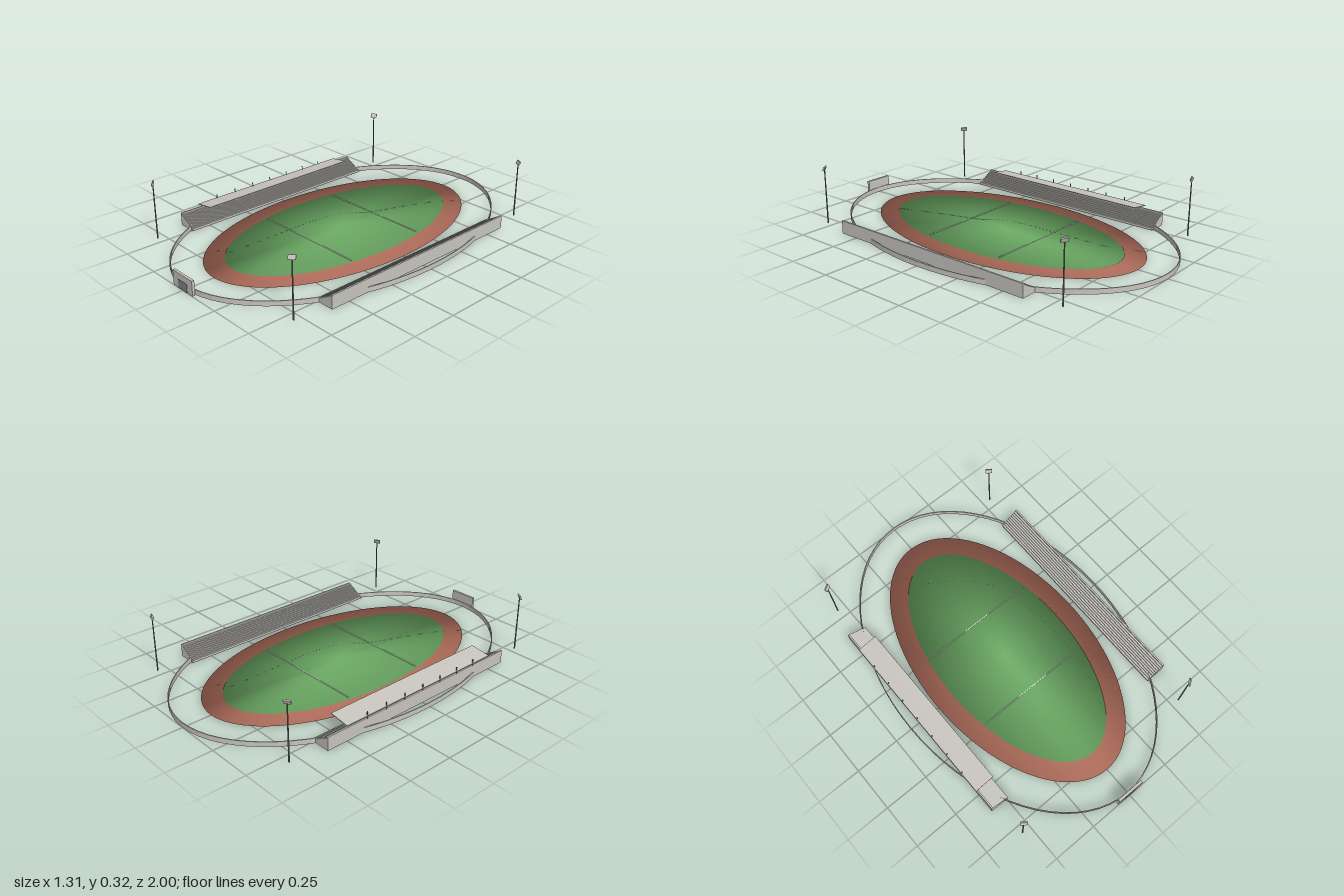
import * as THREE from 'three';
import { mergeVertices } from 'three/addons/utils/BufferGeometryUtils.js';

const mat = (name, color, side = THREE.FrontSide) => {
  const m = new THREE.MeshStandardMaterial({ color, side });
  m.name = name;
  return m;
};

export function createModel() {
  const concrete = mat('concrete', 0xc8c5bf);
  const clay = mat('clay', 0xc47a66);
  const grass = mat('grass', 0x70b068);
  const steel = mat('steel', 0x74777c);
  const doorGrey = mat('doorGrey', 0x82878d);
  const white = mat('white', 0xeeeeea);

  const stadium = new THREE.Group();
  stadium.name = 'stadium';
  const add = (name, geo, material, x = 0, y = 0, z = 0, parent = stadium) => {
    const m = new THREE.Mesh(geo, material);
    m.name = name;
    m.position.set(x, y, z);
    parent.add(m);
    return m;
  };
  const box = (w, h, d) => new THREE.BoxGeometry(w, h, d);
  const Z0 = -0.007; // centre of the oval; the gate stands out in front

  // Thin oval lens with softly rounded shading towards the rim
  const oval = (rx, rz, bottom, rim, top) => {
    const points = [[0, bottom], [1, rim], [0, top]].map(p => new THREE.Vector2(...p));
    let g = new THREE.LatheGeometry(points, 96);
    g.deleteAttribute('normal');
    g.deleteAttribute('uv');
    g.scale(rx, 1, rz);
    g = mergeVertices(g, 1e-5);
    g.computeVertexNormals();
    return g;
  };
  add('runningTrack', oval(0.468, 0.833, 0, 0.002, 0.004), clay, 0, 0, Z0);
  add('playingField', oval(0.365, 0.72, 0.003, 0.005, 0.007), grass, 0, 0, Z0);

  // Field lines
  for (const z of [-0.245, 0.23]) add('fieldLine', box(0.66, 0.003, 0.004), white, 0, 0.0065, z);

  // Faceted perimeter wall
  const wallShape = new THREE.Shape().absellipse(0, 0, 0.653, 0.993, 0, Math.PI * 2);
  wallShape.holes.push(new THREE.Path().absellipse(0, 0, 0.648, 0.988, 0, Math.PI * 2));
  const wallGeo = new THREE.ExtrudeGeometry(wallShape, { depth: 0.027, bevelEnabled: false, curveSegments: 36 });
  wallGeo.rotateX(-Math.PI / 2);
  add('perimeterWall', wallGeo, concrete, 0, 0, Z0);

  // Stepped stands with a back wall, one on each long side
  const steps = 9, length = 1.225;
  const profile = new THREE.Shape();
  profile.moveTo(0.59, 0);
  for (let i = steps - 1; i >= 0; i--) {
    const y = 0.007 + (i + 1) * 0.0062;
    profile.lineTo(0.492 + (i + 1) * 0.098 / steps, y);
    profile.lineTo(0.492 + i * 0.098 / steps, y);
  }
  profile.lineTo(0.492, 0);
  const tierGeo = new THREE.ExtrudeGeometry(profile, { depth: length, bevelEnabled: false });
  tierGeo.translate(0, 0, -length / 2);
  for (const side of [1, -1]) {
    const stand = new THREE.Group();
    stand.name = side > 0 ? 'leftStand' : 'rightStand';
    add('seatingTiers', tierGeo, concrete, 0, 0, 0, stand);
    add('backWall', box(0.009, 0.072, length), concrete, 0.5945, 0.036, 0, stand);
    stand.rotation.y = side > 0 ? 0 : Math.PI;
    stand.position.z = -0.005;
    stadium.add(stand);
  }

  // Sloping roof and its posts over the right stand
  const roof = add('roof', box(0.113, 0.004, 0.995), concrete, -0.548, 0.093, Z0);
  roof.rotation.z = 0.14;
  for (let i = -3; i <= 3; i++) {
    add('roofPost', box(0.004, 0.04, 0.004), steel, -0.598, 0.087, Z0 + 0.005 + i * 0.124);
  }

  // Floodlight masts at the four corners
  for (const sx of [-1, 1]) for (const sz of [-1, 1]) {
    const mast = new THREE.Group();
    mast.name = 'floodlight';
    add('mastPole', new THREE.CylinderGeometry(0.003, 0.004, 0.302, 8), steel, 0, 0.151, 0, mast);
    const head = add('lampPanel', box(0.036, 0.023, 0.008), concrete, 0, 0.311, 0, mast);
    head.rotation.order = 'YXZ';
    head.rotation.y = sx * sz * 0.6;
    head.rotation.x = -0.4;
    mast.position.set(sx * 0.548, 0, sz * 0.795 - 0.005);
    stadium.add(mast);
  }

  // Entrance gate with a recessed-looking door plate
  add('gateBlock', box(0.156, 0.08, 0.014), concrete, 0, 0.04, 0.991);
  add('gateDoor', box(0.07, 0.046, 0.004), doorGrey, 0, 0.023, 0.998);

  return stadium;
}
